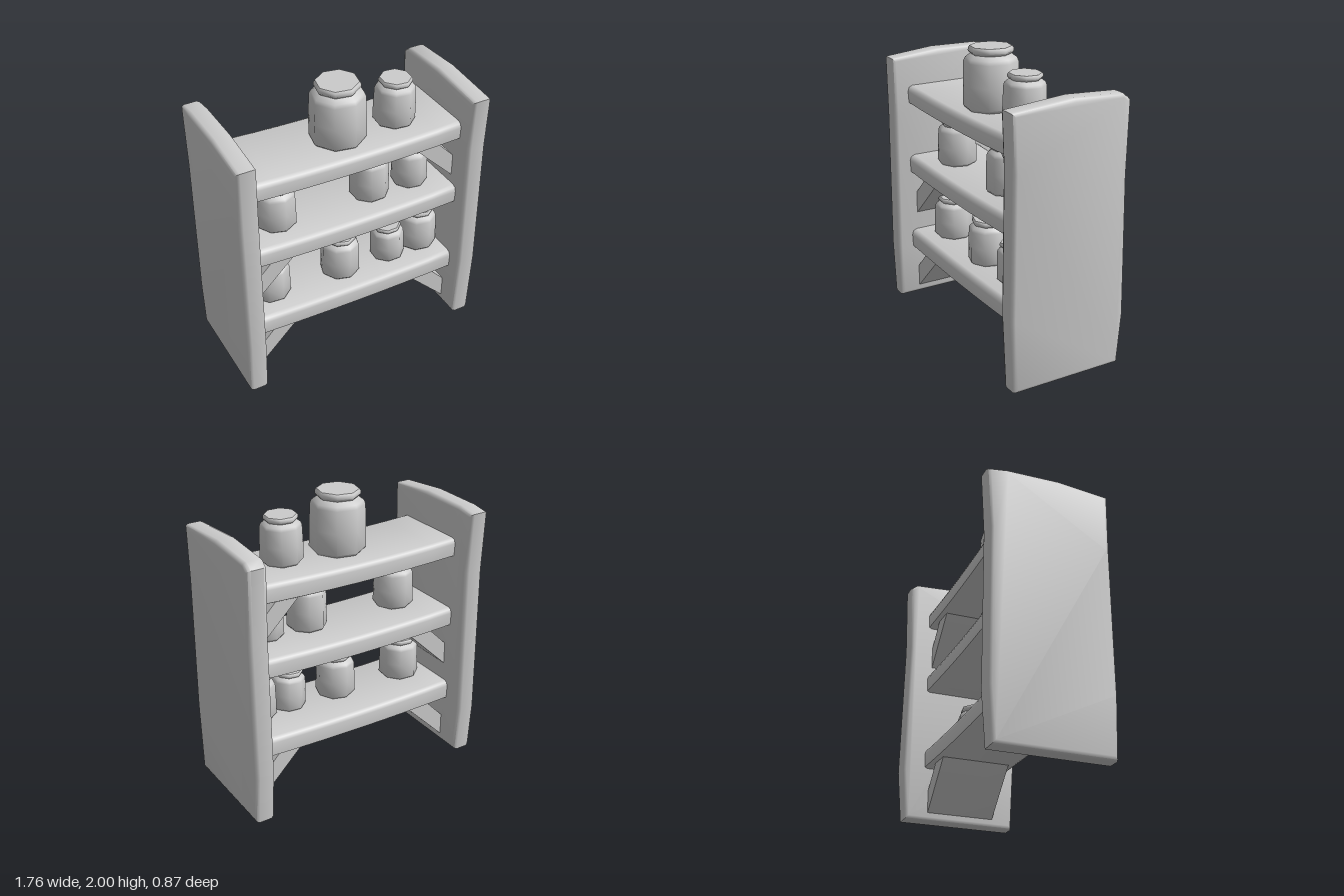
import * as THREE from 'three';
import { toCreasedNormals } from 'three/addons/utils/BufferGeometryUtils.js';

const material = new THREE.MeshStandardMaterial({ color: 0xcccccc, side: THREE.DoubleSide });

function addPart(group, name, geometry, crease = 0.9) {
  const mesh = new THREE.Mesh(toCreasedNormals(geometry, crease), material);
  mesh.name = name;
  group.add(mesh);
  return mesh;
}

// Moves every vertex by a rule
function deform(geometry, rule) {
  const p = geometry.attributes.position;
  const v = new THREE.Vector3();
  for (let i = 0; i < p.count; i++) {
    v.fromBufferAttribute(p, i);
    rule(v);
    p.setXYZ(i, v.x, v.y, v.z);
  }
  return geometry;
}

// Extrudes a [z, y] outline along x, centred on x = 0
function extrudeAlongX(outline, width, bevel, steps = 1) {
  const shape = new THREE.Shape(outline.map(([z, y]) => new THREE.Vector2(-z, y)));
  const geometry = new THREE.ExtrudeGeometry(shape, {
    depth: width - 2 * bevel, steps, bevelEnabled: bevel > 0,
    bevelThickness: bevel, bevelSize: bevel, bevelOffset: -bevel, bevelSegments: 2,
  });
  geometry.translate(0, 0, -(width - 2 * bevel) / 2);
  return geometry.rotateY(Math.PI / 2);
}

// Upright end panel with slightly wavy edges
function addPanel(group, name, x, outline) {
  addPart(group, name, extrudeAlongX(outline, 0.135, 0.025)).position.x = x;
}

// Sagging plank with rounded long edges
function addShelf(group, name, top, thickness, sag) {
  const b = top - thickness;
  const outline = [
    [0.27, top], [0.295, top - 0.012], [0.305, top - 0.04], [0.3, b + 0.01], [0.28, b],
    [-0.25, b], [-0.268, b + 0.01], [-0.272, top - 0.035], [-0.262, top - 0.01], [-0.24, top],
  ];
  const geometry = deform(extrudeAlongX(outline, 1.52, 0, 8), (v) => {
    v.y -= sag * (1 - (v.x / 0.76) ** 2);
    v.z += 0.013 * v.x;
  });
  addPart(group, name, geometry);
}

// Diagonal support between a panel and the shelf above it
function addBrace(group, name, side, wallY, shelfY) {
  const shape = new THREE.Shape([
    [-0.77, wallY - 0.02], [-0.74, wallY], [-0.43, shelfY], [-0.43, shelfY + 0.03],
    [-0.57, shelfY + 0.03], [-0.77, wallY + 0.13],
  ].map(([x, y]) => new THREE.Vector2(x, y)));
  const geometry = new THREE.ExtrudeGeometry(shape, { depth: 0.48, bevelEnabled: false });
  geometry.translate(0, 0, -0.23);
  if (side > 0) geometry.rotateY(Math.PI).translate(0, 0, 0.02);
  addPart(group, name, geometry, 0.4);
}

// Eight-sided jar with a shoulder and a lid
function addJar(group, name, [x, y, z, r, h, turn, tilt]) {
  const profile = [
    [0, 0], [0.9, 0], [1, 0.05], [0.99, 0.4], [0.96, 0.76], [0.9, 0.82], [0.72, 0.88],
    [0.8, 0.92], [0.79, 0.97], [0.74, 1], [0, 1],
  ].map(([pr, py]) => new THREE.Vector2(pr * r * 1.03, py * h));
  const jar = addPart(group, name, new THREE.LatheGeometry(profile, 8));
  jar.position.set(x, y, z);
  jar.rotation.set(0, turn, tilt);
}

export function createModel() {
  const model = new THREE.Group();
  model.name = 'jarShelf';

  // End panels
  addPanel(model, 'rightPanel', -0.815, [
    [0.39, 0], [0.405, 0.4], [0.4, 1.4], [0.405, 1.81], [0.05, 1.845],
    [-0.3, 1.84], [-0.435, 1.82], [-0.415, 1.4], [-0.425, 0.35], [-0.4, 0],
  ]);
  addPanel(model, 'leftPanel', 0.813, [
    [0.4, 0], [0.425, 0.5], [0.415, 1.45], [0.43, 1.815], [0, 1.85],
    [-0.36, 1.83], [-0.41, 1.79], [-0.4, 1.3], [-0.42, 0.35], [-0.39, 0],
  ]);

  // Shelves
  addShelf(model, 'topShelf', 1.607, 0.132, 0.02);
  addShelf(model, 'middleShelf', 1.093, 0.135, 0.02);
  addShelf(model, 'bottomShelf', 0.515, 0.14, 0.015);

  // Braces
  addBrace(model, 'bottomRightBrace', -1, 0.06, 0.37);
  addBrace(model, 'bottomLeftBrace', 1, 0.06, 0.37);
  addBrace(model, 'middleRightBrace', -1, 0.65, 0.95);
  addBrace(model, 'topLeftBrace', 1, 1.16, 1.465);

  // Jars: x, y, z, radius, height, turn, tilt
  [
    [-0.02, 1.585, 0.04, 0.182, 0.415, 0.2, 0.01],
    [0.395, 1.595, 0.045, 0.136, 0.315, 0.3, -0.015],
    [-0.485, 1.08, 0.05, 0.135, 0.31, 0.1, 0],
    [0.21, 1.08, 0.06, 0.132, 0.33, 0.4, 0.015],
    [0.52, 1.085, 0.07, 0.12, 0.295, 0.2, 0.01],
    [-0.55, 0.505, 0.05, 0.136, 0.295, 0.3, 0],
    [-0.02, 0.5, 0.07, 0.134, 0.31, 0.1, 0],
    [0.36, 0.505, 0.08, 0.118, 0.27, 0.35, 0.05],
    [0.61, 0.51, 0.07, 0.134, 0.31, 0.2, 0],
  ].forEach((jar, i) => addJar(model, `jar${i + 1}`, jar));

  return model;
}
